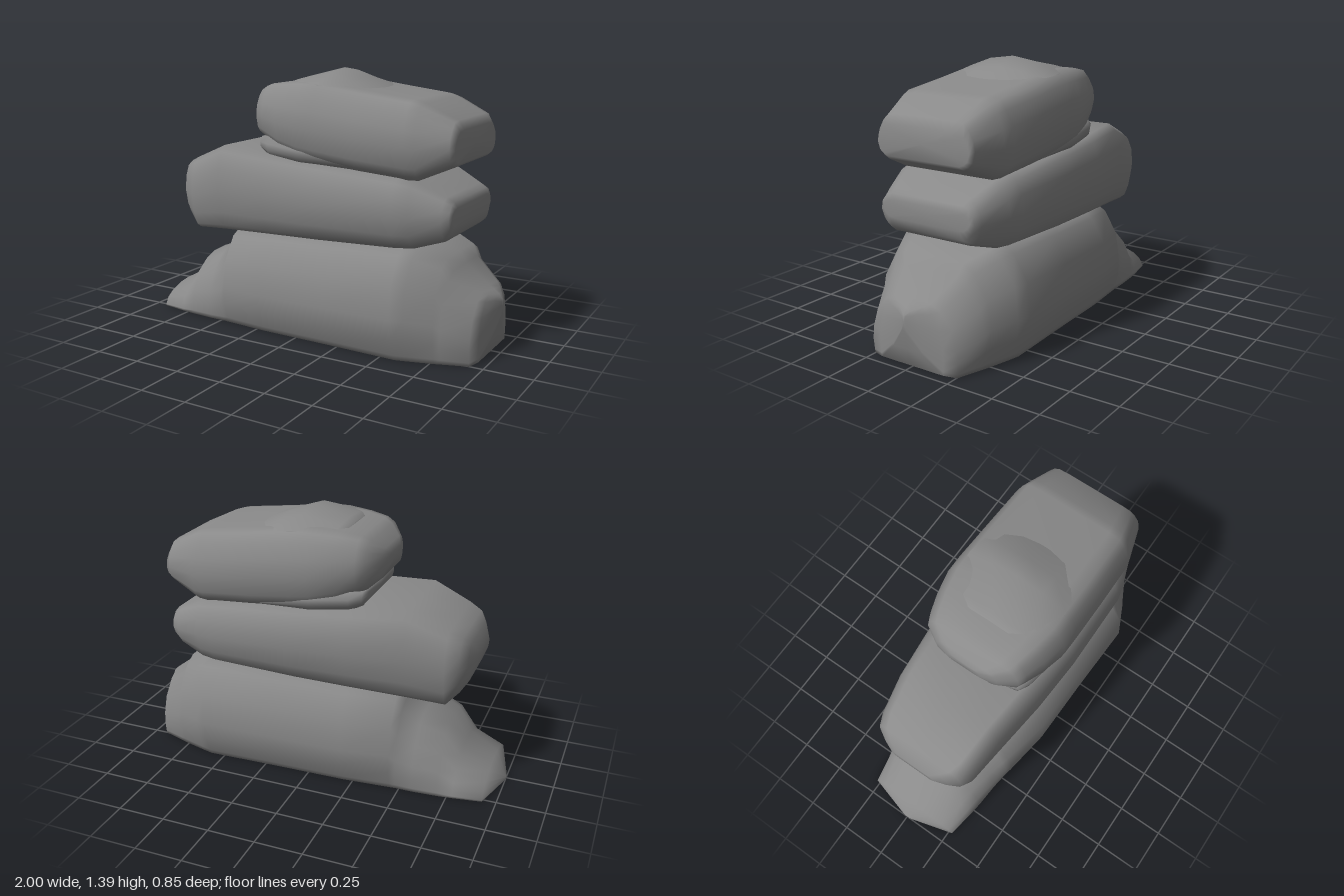
import * as THREE from 'three';

// Loft a smooth boulder along x. stations: [x, bottom, top, halfDepth, blend];
// profile: half cross-section as [depth fraction, height fraction], bottom to top.
// blend (0 to 1) moves the section from profile towards endProfile.
function loftStone(name, stations, profile, material, endProfile = profile) {
  const pos = [];
  const idx = [];
  const n = profile.length * 2 + 2;
  for (const [x, bottom, top, depth, blend = 0] of stations) {
    const side = profile.map(([w, h], k) => [
      THREE.MathUtils.lerp(w, endProfile[k][0], blend),
      THREE.MathUtils.lerp(h, endProfile[k][1], blend),
    ]);
    const mirrored = side.map(([w, h]) => [-w, h]).reverse();
    for (const [w, h] of [[0, 0], ...side, [0, 1], ...mirrored]) {
      pos.push(x, bottom + (top - bottom) * h, w * depth);
    }
  }
  for (let i = 0; i < stations.length - 1; i++) {
    for (let j = 0; j < n; j++) {
      const k = (j + 1) % n;
      const a = i * n + j, b = a + n, c = i * n + k, d = c + n;
      idx.push(a, b, d, a, d, c);
    }
  }
  // end caps
  for (const end of [0, stations.length - 1]) {
    const [x, bottom, top] = stations[end];
    const centre = pos.length / 3;
    pos.push(x, (bottom + top) / 2, 0);
    for (let j = 0; j < n; j++) {
      const a = end * n + j, b = end * n + (j + 1) % n;
      if (end === 0) idx.push(centre, a, b);
      else idx.push(centre, b, a);
    }
  }
  const geo = new THREE.BufferGeometry();
  geo.setAttribute('position', new THREE.Float32BufferAttribute(pos, 3));
  geo.setIndex(idx);
  geo.computeVertexNormals();
  const mesh = new THREE.Mesh(geo, material);
  mesh.name = name;
  return mesh;
}

export function createModel() {
  const group = new THREE.Group();
  group.name = 'stackedStones';
  const material = new THREE.MeshStandardMaterial({ color: 0x8a8a8a });

  // wide base boulder; its ends spread out at ground level
  group.add(loftStone('baseStone', [
    [-1, 0, 0.01, 0.02, 1], [-0.93, 0, 0.12, 0.27, 1], [-0.78, 0, 0.2, 0.3, 0.9],
    [-0.7, 0, 0.33, 0.315, 0.8], [-0.57, 0, 0.38, 0.335, 0.6], [-0.48, 0, 0.45, 0.35, 0.35],
    [-0.45, 0, 0.515, 0.36, 0.25], [-0.2, 0, 0.53, 0.4], [0.2, 0, 0.54, 0.41],
    [0.58, 0, 0.555, 0.425], [0.64, 0, 0.54, 0.4, 0.1], [0.77, 0, 0.5, 0.345, 0.3],
    [0.8, 0, 0.44, 0.33, 0.35], [0.93, 0, 0.34, 0.27, 0.6], [0.953, 0.005, 0.325, 0.2, 0.6],
    [0.98, 0.1, 0.305, 0.09, 0.6], [1, 0.2, 0.28, 0.015, 0.6],
  ], [[0.84, 0], [0.87, 0.05], [0.97, 0.22], [1, 0.4], [0.97, 0.7], [0.78, 0.94], [0.62, 1]], material,
  [[1, 0], [1, 0.06], [0.97, 0.2], [0.92, 0.4], [0.76, 0.65], [0.5, 0.87], [0.25, 0.97]]));

  // long slab in the middle
  group.add(loftStone('middleStone', [
    [-0.83, 0.69, 0.75, 0.13], [-0.8, 0.61, 0.81, 0.2], [-0.765, 0.56, 0.855, 0.26],
    [-0.7, 0.49, 0.885, 0.29], [-0.5, 0.505, 0.97, 0.32], [-0.2, 0.52, 0.95, 0.355],
    [0.1, 0.53, 0.93, 0.372], [0.55, 0.545, 0.895, 0.368], [0.63, 0.55, 0.88, 0.35],
    [0.78, 0.595, 0.81, 0.295], [0.815, 0.625, 0.79, 0.28], [0.825, 0.67, 0.76, 0.26],
  ], [[0.76, 0], [0.86, 0.06], [0.94, 0.22], [1, 0.48], [0.97, 0.74], [0.88, 0.93], [0.75, 1]], material));

  // flat-topped upper boulder
  group.add(loftStone('topStone', [
    [-0.35, 1.14, 1.2, 0.1], [-0.33, 1.09, 1.235, 0.18], [-0.275, 1.045, 1.28, 0.27],
    [-0.23, 1.025, 1.305, 0.29], [-0.13, 0.98, 1.32, 0.325], [0, 0.945, 1.33, 0.355],
    [0.1, 0.93, 1.33, 0.357], [0.33, 0.905, 1.298, 0.355], [0.6, 0.885, 1.265, 0.35],
    [0.65, 0.885, 1.25, 0.335], [0.81, 0.955, 1.175, 0.285], [0.835, 0.975, 1.13, 0.27],
  ], [[0.78, 0], [0.87, 0.06], [0.95, 0.17], [1, 0.42], [0.97, 0.65], [0.88, 0.85], [0.78, 0.97], [0.6, 1]], material));

  // low ridge on the crown of the upper boulder
  group.add(loftStone('crownRidge', [
    [-0.14, 1.29, 1.325, 0.24], [-0.1, 1.29, 1.34, 0.27], [0.1, 1.29, 1.39, 0.285],
    [0.22, 1.28, 1.345, 0.28], [0.34, 1.27, 1.298, 0.26],
  ], [[1, 0], [0.98, 0.3], [0.5, 0.8]], material));

  // thin lip under the left end of the upper boulder
  group.add(loftStone('lowerLip', [
    [-0.275, 0.985, 1.025, 0.2], [-0.26, 0.965, 1.035, 0.26], [-0.2, 0.94, 1.045, 0.29],
    [0, 0.925, 1.03, 0.325], [0.3, 0.91, 0.99, 0.31],
  ], [[0.9, 0], [0.98, 0.25], [1, 0.6], [0.92, 1]], material));

  return group;
}
